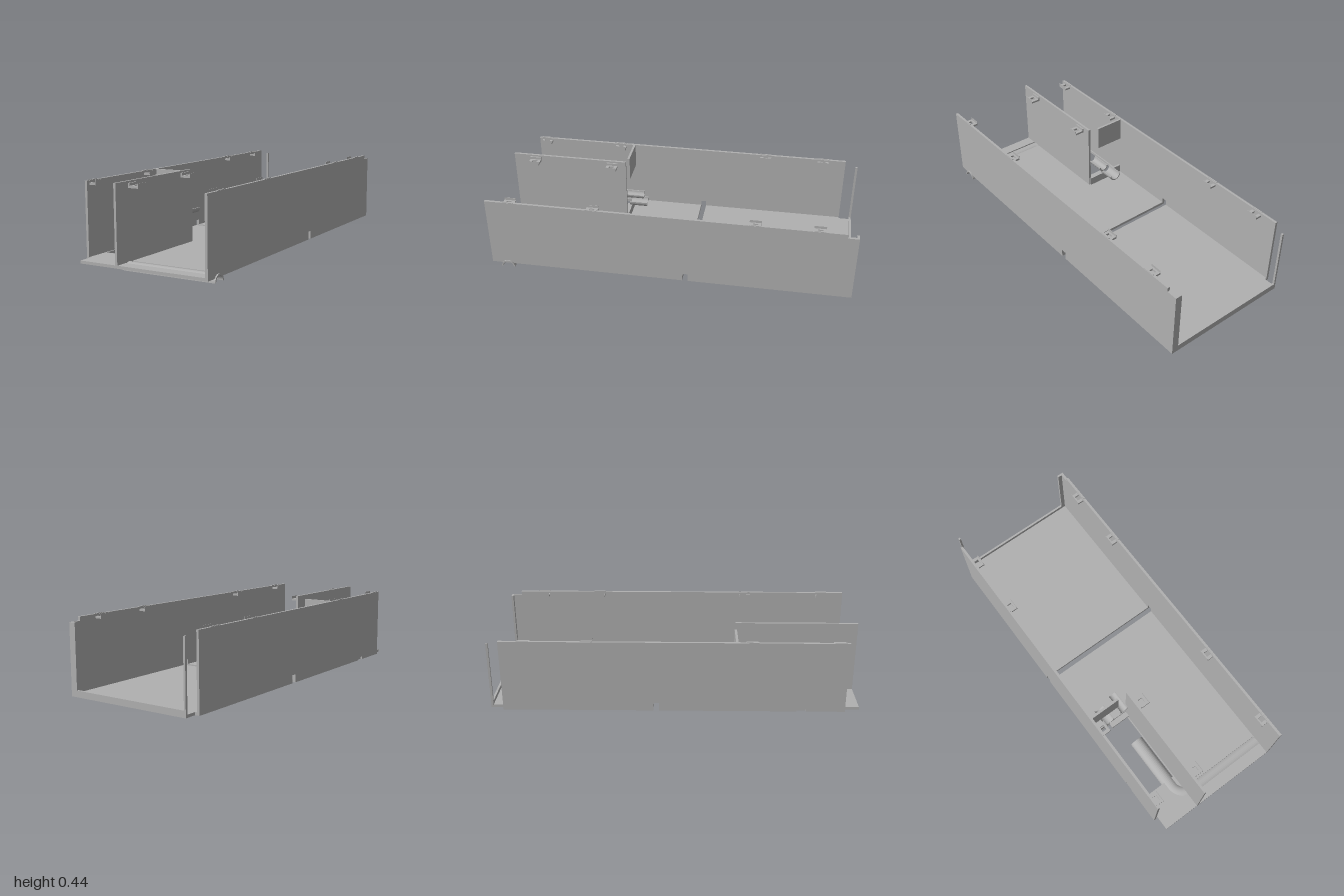
import * as THREE from 'three';

export function createModel() {
  const group = new THREE.Group();
  const grey = new THREE.MeshStandardMaterial({ color: 0xb0b0b0, side: THREE.DoubleSide });
  grey.name = 'grey plastic';

  const add = (name, geo, x = 0, y = 0, z = 0) => {
    const m = new THREE.Mesh(geo, grey);
    m.name = name;
    m.position.set(x, y, z);
    group.add(m);
    return m;
  };
  const box = (name, x0, x1, y0, y1, z0, z1) => add(name,
    new THREE.BoxGeometry(x1 - x0, y1 - y0, z1 - z0), (x0 + x1) / 2, (y0 + y1) / 2, (z0 + z1) / 2);
  const toVecs = (pts) => pts.map(([a, b]) => new THREE.Vector2(a, b));
  const extrude = (pts, depth, hole) => {
    const s = new THREE.Shape(toVecs(pts));
    if (hole) s.holes.push(new THREE.Path(toVecs(hole)));
    return new THREE.ExtrudeGeometry(s, { depth, bevelEnabled: false, curveSegments: 16 });
  };
  // Horizontal plate outlined in x, z
  const slab = (name, pts, y0, y1, hole) =>
    add(name, extrude(pts, y1 - y0, hole).rotateX(Math.PI / 2), 0, y1, 0);
  // Upright plate outlined in z, y
  const wall = (name, pts, x0, x1) =>
    add(name, extrude(pts, x1 - x0).rotateY(-Math.PI / 2), x1, 0, 0);
  const rect = (a0, a1, b0, b1) => [[a0, b0], [a1, b0], [a1, b1], [a0, b1]];
  const arc = (cx, cy, r, from, to, n = 14) => Array.from({ length: n + 1 }, (_, i) => {
    const t = from + (to - from) * i / n;
    return [cx + r * Math.cos(t), cy + r * Math.sin(t)];
  });
  const halfRing = (ro, ri, from, to, cx = 0) =>
    [...arc(cx, 0, ro, from, to), ...arc(cx, 0, ri, to, from)];

  // Floor halves separated by the cross slot
  const slotBack = -0.115, slotFront = -0.085;
  slab('rearFloor', [[-0.36, -1], [0.37, -1], [0.37, slotBack], [-0.375, slotBack],
    [-0.375, -0.93], [-0.36, -0.93]], 0.02, 0.035);

  // Cable channel: straight run, elbow, straight run out to the side
  const chX = -0.1875, chZ = 0.908, bend = 0.08, ro = 0.0385, ri = 0.031, w = 0.026;
  const ex = chX + bend, ez = chZ - bend;
  const arch = halfRing(ro, ri, 0, Math.PI);
  add('channelLongRun', extrude(arch, ez - 0.5), chX, 0, 0.5);
  add('channelCrossRun', extrude(arch, 0.385 - ex).rotateY(Math.PI / 2), ex, 0, chZ);
  const profile = toVecs(halfRing(ro, ri, 0, Math.PI, bend));
  profile.push(profile[0].clone());
  add('channelElbow', new THREE.LatheGeometry(profile, 12, -Math.PI / 2, Math.PI / 2), ex, 0, ez);

  // Opening in the front floor, including the cut that follows the channel
  const opening = [[-0.363, 0.33], [-0.15, 0.33], [-0.15, 0.79], [chX + w, 0.79],
    ...arc(ex, ez, bend - w, Math.PI, Math.PI / 2, 8),
    [0.36, chZ - w], [0.36, chZ + w],
    ...arc(ex, ez, bend + w, Math.PI / 2, Math.PI, 8),
    [chX - w, 0.79], [-0.363, 0.79], [-0.363, 0.71], [-0.371, 0.71], [-0.371, 0.66], [-0.363, 0.66]];
  slab('frontFloor', [[-0.375, slotFront], [0.37, slotFront], [0.37, 1], [-0.36, 1],
    [-0.36, 0.92], [-0.375, 0.92]], 0.02, 0.035, opening);

  // Side walls, notched at the slot
  const slotNotch = [[slotBack, 0.02], [slotBack, 0.065], [slotFront, 0.065], [slotFront, 0.02]];
  wall('leftWall', [[-1, 0.02], ...slotNotch, [1, 0.02], [1, 0.422],
    [-0.94, 0.422], [-0.94, 0.4], [-1, 0.4]], 0.364, 0.378);
  wall('rightWall', [[-0.93, 0.02], ...slotNotch, [0.66, 0.02], [0.66, 0.036], [0.71, 0.036],
    [0.71, 0.02], [0.92, 0.02], [0.92, 0.422], [-0.93, 0.422]], -0.385, -0.371);

  // Rear frame
  box('rearSill', -0.36, 0.364, 0.035, 0.055, -1, -0.988);
  box('rearPostLeft', 0.34, 0.364, 0.035, 0.4, -1, -0.988);
  box('rearPostRight', -0.361, -0.35, 0.02, 0.4, -1, -0.988);

  // Compartment divider and cross partition
  box('divider', -0.145, -0.132, 0.02, 0.435, 0.33, 1);
  box('partitionUpper', -0.372, -0.2, 0.285, 0.422, 0.322, 0.335);
  const cradleX = -0.2625, cradleY = 0.107;
  const cut = Math.asin((cradleY - 0.083) / 0.034);
  add('partitionLower', extrude([[-0.372, 0.02], [-0.14, 0.02], [-0.14, 0.083],
    ...arc(cradleX, cradleY, 0.034, -cut, -Math.PI + cut), [-0.372, 0.083]], 0.013), 0, 0, 0.322);
  box('partitionShelf', -0.262, -0.145, 0.06, 0.072, 0.335, 0.367);
  box('partitionLip', -0.36, -0.153, 0.035, 0.047, 0.322, 0.338);

  // Half-round cradles
  add('lowerCradle', extrude(halfRing(0.0385, 0.032, Math.PI, 2 * Math.PI), 0.1),
    cradleX, cradleY, 0.235);
  add('upperCradle', extrude(halfRing(0.03, 0.023, Math.PI, 2 * Math.PI), 0.117),
    -0.171, 0.21, 0.235);

  // Fastening clips: pierced plate with an upright at each end
  const clip = (face, dir, z, len) => {
    const c = new THREE.Group();
    c.name = 'clip';
    const s = extrude(rect(0, len, -0.032, 0.032), 0.011,
      rect(len / 2 - 0.013, len / 2 + 0.013, -0.014, 0.014)).rotateX(Math.PI / 2);
    const plate = new THREE.Mesh(s, grey);
    plate.name = 'clipPlate';
    plate.position.y = 0.411;
    c.add(plate);
    for (const [x, t] of [[0.004, 0.008], [len - 0.001, 0.002]]) {
      const lip = new THREE.Mesh(new THREE.BoxGeometry(t, 0.014, 0.064), grey);
      lip.name = 'clipLip';
      lip.position.set(x, 0.418, 0);
      c.add(lip);
    }
    c.position.set(face, 0, z);
    if (dir < 0) c.rotation.y = Math.PI;
    group.add(c);
  };
  for (const z of [-0.8, -0.465, 0.41, 0.87]) {
    clip(0.376, -1, z, 0.05);
    clip(-0.383, 1, z, 0.05);
    if (z > 0) clip(-0.132, 1, z, 0.059);
  }
  return group;
}
